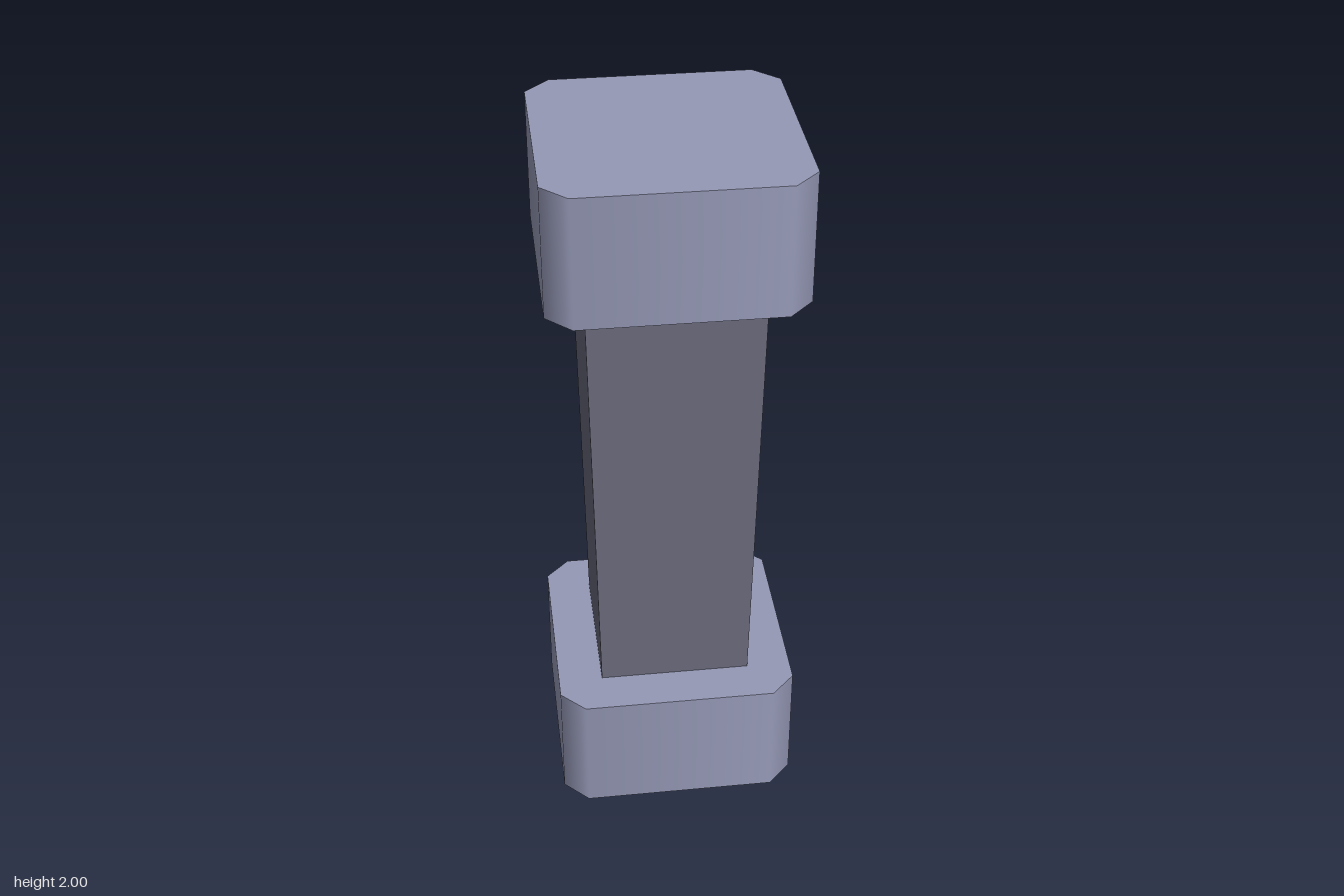
import * as THREE from 'three';

const blockMaterial = new THREE.MeshStandardMaterial({ color: 0x9599b6 });
blockMaterial.name = 'pale blue grey';
const shaftMaterial = new THREE.MeshStandardMaterial({ color: 0x6a6a7c });
shaftMaterial.name = 'dark grey';

const HALF = 0.341, CORNER = 0.273, BLOCK_H = 0.364;

// Square block with cut corners; the sides keep the cylinder's smooth normals
function blockGeometry() {
  const geo = new THREE.CylinderGeometry(1, 1, BLOCK_H, 8, 1, false, Math.PI / 8);
  const pos = geo.attributes.position;
  const snap = (v) => {
    const a = Math.abs(v);
    return a < 0.1 ? 0 : Math.sign(v) * (a > 0.7 ? HALF : CORNER);
  };
  for (let i = 0; i < pos.count; i++) {
    pos.setX(i, snap(pos.getX(i)));
    pos.setZ(i, snap(pos.getZ(i)));
  }
  return geo;
}

// Square shaft, slightly wider at the top, with flat faces
function shaftGeometry(topHalf, bottomHalf, height) {
  const geo = new THREE.CylinderGeometry(
    topHalf * Math.SQRT2, bottomHalf * Math.SQRT2, height, 4, 1, true, Math.PI / 4
  ).toNonIndexed();
  geo.computeVertexNormals();
  return geo;
}

export function createModel() {
  const group = new THREE.Group();
  group.name = 'pillar';

  const add = (name, geometry, material, y) => {
    const mesh = new THREE.Mesh(geometry, material);
    mesh.name = name;
    mesh.position.y = y;
    group.add(mesh);
  };

  // Base and capital are the same block
  const block = blockGeometry();
  add('base', block, blockMaterial, BLOCK_H / 2);
  add('capital', block, blockMaterial, 2 - BLOCK_H / 2);

  // Shaft between the blocks
  add('shaft', shaftGeometry(0.237, 0.215, 2 - 2 * BLOCK_H), shaftMaterial, 1);

  return group;
}
